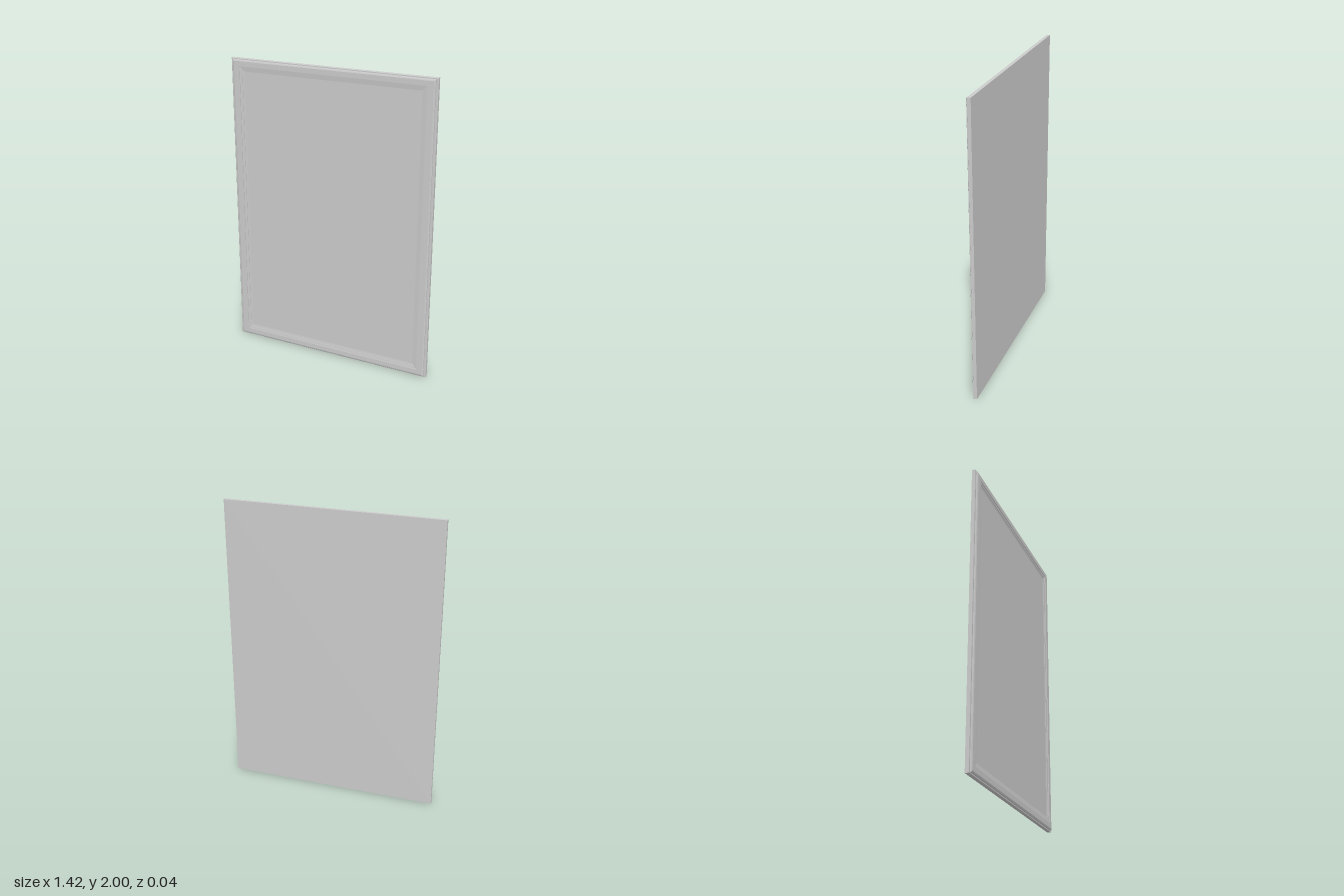
import * as THREE from 'three';

const W = 0.71, H = 1; // half width and half height

// Closed solid from rectangular rings [x inset, y inset, z], running back to front
function ringSolid(rings) {
  const pos = [], index = [];
  for (const [ix, iy, z] of rings) {
    const x = W - ix, y = H - iy;
    pos.push(-x, 1 - y, z, x, 1 - y, z, x, 1 + y, z, -x, 1 + y, z);
  }
  for (let r = 0; r < rings.length - 1; r++) {
    for (let i = 0; i < 4; i++) {
      const a = r * 4 + i, b = r * 4 + (i + 1) % 4;
      index.push(a, b, b + 4, a, b + 4, a + 4);
    }
  }
  const n = (rings.length - 1) * 4;
  index.push(0, 2, 1, 0, 3, 2, n, n + 1, n + 2, n, n + 2, n + 3); // back and front caps
  const g = new THREE.BufferGeometry();
  g.setAttribute('position', new THREE.Float32BufferAttribute(pos, 3));
  g.setIndex(index);
  const flat = g.toNonIndexed();
  flat.computeVertexNormals();
  return flat;
}

export function createModel() {
  const group = new THREE.Group();
  group.name = 'framedPanel';
  const material = new THREE.MeshStandardMaterial({ color: 0xcccccc, flatShading: true });

  const add = (name, rings) => {
    const mesh = new THREE.Mesh(ringSolid(rings), material);
    mesh.name = name;
    group.add(mesh);
  };

  // Plain slab forming the back and outer edge
  add('backBoard', [
    [0, 0, -0.018],
    [0, 0, 0.004],
    [0.003, 0.002, 0.006],
  ]);

  // Raised border with a beveled edge, stepping down to the sunken panel
  add('mouldedFrontPanel', [
    [0.014, 0.008, 0.002],
    [0.014, 0.008, 0.014],
    [0.018, 0.012, 0.016],
    [0.024, 0.018, 0.018],
    [0.064, 0.05, 0.018],
    [0.064, 0.05, 0.014],
    [0.082, 0.067, 0.012],
    [0.082, 0.067, 0.009],
    [0.098, 0.084, 0.007],
  ]);

  return group;
}
